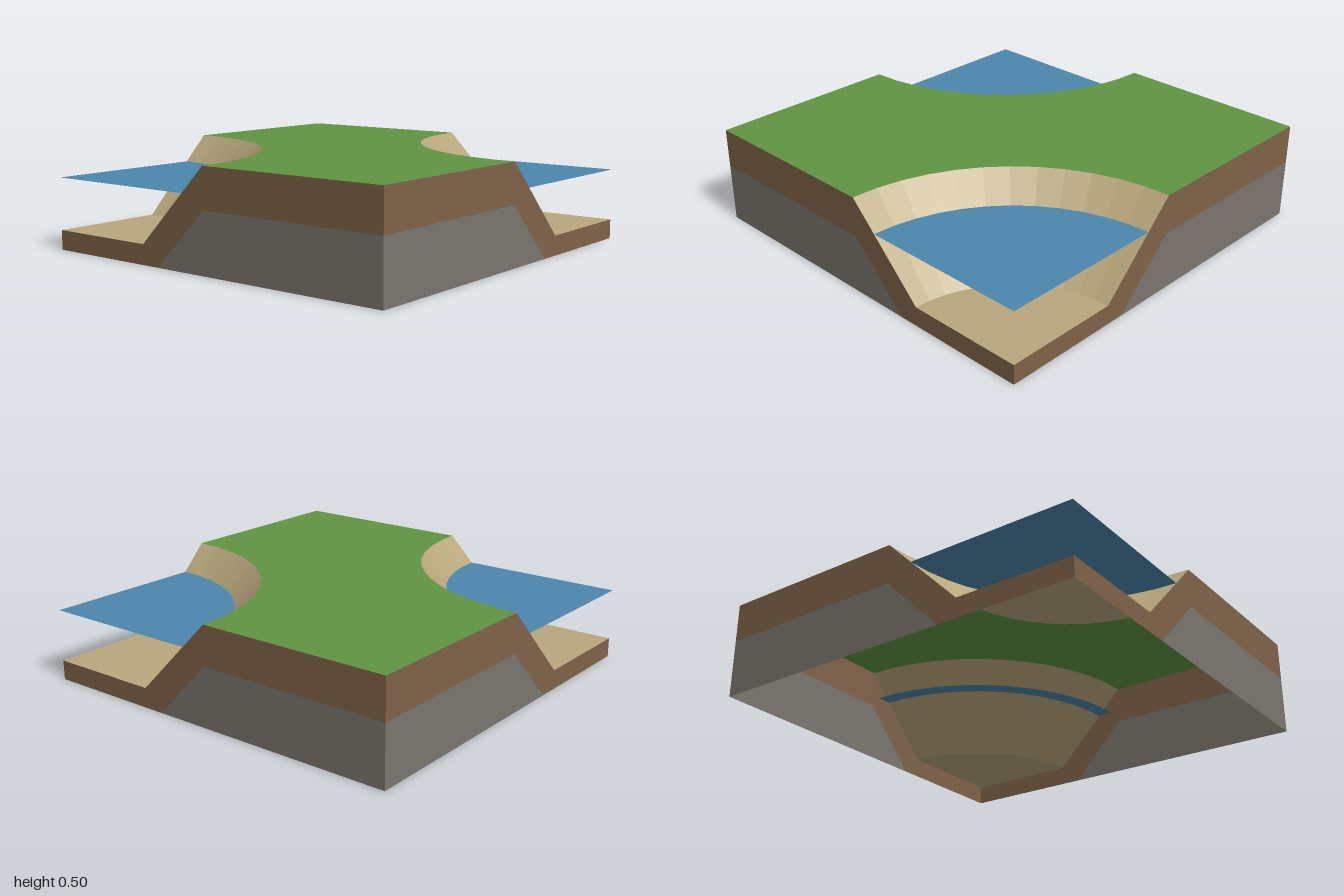
import * as THREE from 'three';

const SEGMENTS = 12;
const TOP = 0.5, BED = 0.1, WATER = 0.365;
const BED_RADIUS = 0.6, WATER_RADIUS = 0.95;

// The tile is an open shell, so every surface shows from both sides.
function makeMaterial(name, color) {
  const material = new THREE.MeshStandardMaterial({ color, flatShading: true, side: THREE.DoubleSide });
  material.name = name;
  return material;
}

function addMesh(parent, name, geometry, material) {
  const mesh = new THREE.Mesh(geometry, material);
  mesh.name = name;
  parent.add(mesh);
  return mesh;
}

// Points of a quarter circle, swept clockwise from the start angle
function quarterArc(cx, cy, start) {
  return Array.from({ length: SEGMENTS + 1 }, (_, i) => {
    const a = start - (i / SEGMENTS) * Math.PI / 2;
    return new THREE.Vector2(cx + Math.cos(a), cy + Math.sin(a));
  });
}

export function createModel() {
  const grass = makeMaterial('grass green', 0x5f9442);
  const water = makeMaterial('water blue', 0x4c86ab);
  const sand = makeMaterial('sand', 0xb8a67c);
  const dirt = makeMaterial('dirt brown', 0x7f6248);
  const stone = makeMaterial('stone grey', 0x7a756f);

  const model = new THREE.Group();
  model.name = 'riverbankTile';

  // Grass plateau with two opposite corners cut away
  const outline = [
    new THREE.Vector2(1, -1),
    ...quarterArc(1, 1, Math.PI * 1.5),
    new THREE.Vector2(-1, 1),
    ...quarterArc(-1, -1, Math.PI / 2),
  ];
  const plateau = new THREE.ShapeGeometry(new THREE.Shape(outline));
  plateau.rotateX(-Math.PI / 2).translate(0, TOP, 0);
  addMesh(model, 'grassTop', plateau, grass);

  // Corner ponds: sloping bank, flat bed and a water sheet running into the bank
  const bank = new THREE.LatheGeometry(
    [new THREE.Vector2(1, TOP), new THREE.Vector2(BED_RADIUS, BED)],
    SEGMENTS, Math.PI / 2, Math.PI / 2);
  const quarterDisc = (radius, y) =>
    new THREE.CircleGeometry(radius, SEGMENTS, 0, Math.PI / 2).rotateX(-Math.PI / 2).translate(0, y, 0);
  const bed = quarterDisc(BED_RADIUS, BED);
  const surface = quarterDisc(WATER_RADIUS, WATER);
  for (const side of [-1, 1]) {
    const pond = new THREE.Group();
    pond.name = side < 0 ? 'frontPond' : 'backPond';
    pond.position.set(side, 0, -side);
    pond.rotation.y = side < 0 ? 0 : Math.PI;
    addMesh(pond, 'bank', bank, sand);
    addMesh(pond, 'bed', bed, sand);
    addMesh(pond, 'waterSurface', surface, water);
    model.add(pond);
  }

  // Cut sides: a dirt layer over stone, the low end alternating round the tile
  const dirtProfile = [[-1, 0], [-0.3, 0], [0, 0.3], [1, 0.3], [1, TOP], [0, TOP], [-0.4, BED], [-1, BED]];
  const stoneProfile = [[-0.3, 0], [1, 0], [1, 0.3], [0, 0.3]];
  const wallGeometry = (profile, flip) =>
    new THREE.ShapeGeometry(new THREE.Shape(profile.map(([x, y]) => new THREE.Vector2(x * flip, y))))
      .translate(0, 0, 1);
  ['front', 'left', 'back', 'right'].forEach((name, i) => {
    const wall = new THREE.Group();
    wall.name = name + 'Wall';
    wall.rotation.y = i * Math.PI / 2;
    const flip = i % 2 ? -1 : 1;
    addMesh(wall, 'dirtLayer', wallGeometry(dirtProfile, flip), dirt);
    addMesh(wall, 'stoneLayer', wallGeometry(stoneProfile, flip), stone);
    model.add(wall);
  });

  return model;
}
